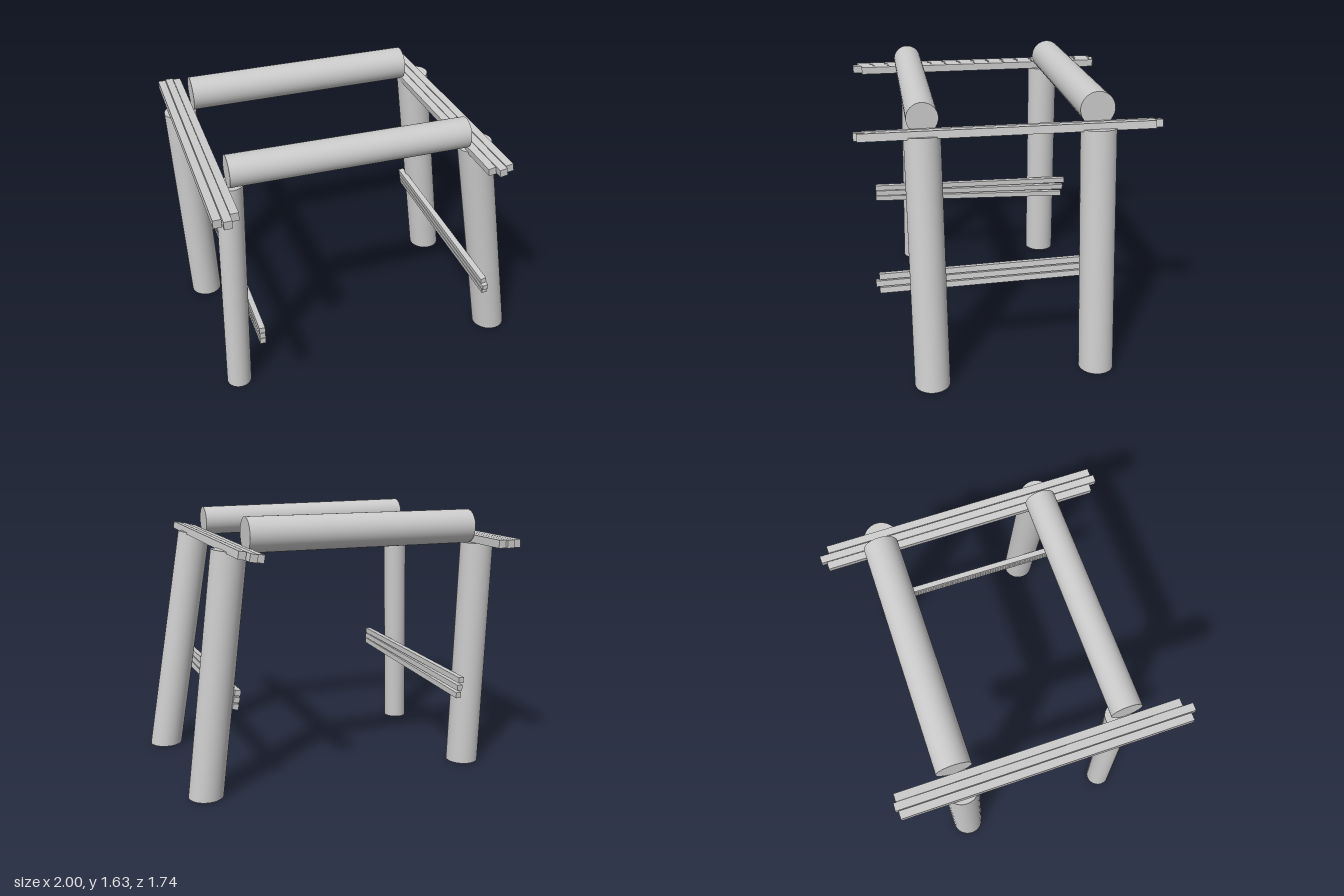
import * as THREE from 'three';

const grey = new THREE.MeshStandardMaterial({ color: 0xcccccc });
const v = (a) => new THREE.Vector3(...a);

// Round log running from point a to point b
function log(name, a, b, rA, rB) {
  const start = v(a), axis = v(b).sub(start);
  const length = axis.length();
  const geo = new THREE.CylinderGeometry(rB, rA, length, 48);
  geo.translate(0, length / 2, 0);
  axis.normalize();
  geo.applyQuaternion(new THREE.Quaternion().setFromUnitVectors(new THREE.Vector3(0, 1, 0), axis));
  geo.translate(...a);
  const mesh = new THREE.Mesh(geo, grey);
  mesh.name = name;
  return mesh;
}

// Leg whose foot is sawn off level with the ground
function leg(name, foot, top, rFoot, rTop) {
  const mesh = log(name, foot, top, rFoot, rTop);
  const axis = v(top).sub(v(foot)).normalize();
  const pos = mesh.geometry.attributes.position;
  const normal = mesh.geometry.attributes.normal;
  for (let i = 0; i < pos.count; i++) {
    if (pos.getY(i) > 0.5) continue;
    const t = pos.getY(i) / axis.y;
    pos.setXYZ(i, pos.getX(i) - axis.x * t, 0, pos.getZ(i) - axis.z * t);
    if (normal.getY(i) < -0.9) normal.setXYZ(i, 0, -1, 0);
  }
  return mesh;
}

// Square-edged slat from a back point to a front point, rolled about its length
function slat(name, back, front, w, h, roll = 0) {
  const a = v(back), b = v(front);
  const mesh = new THREE.Mesh(new THREE.BoxGeometry(w, h, a.distanceTo(b)), grey);
  mesh.name = name;
  mesh.position.copy(a).add(b).multiplyScalar(0.5);
  mesh.lookAt(b);
  mesh.rotateZ(roll);
  return mesh;
}

export function createModel() {
  const model = new THREE.Group();
  model.name = 'logFrame';

  // Four leaning legs
  model.add(
    leg('frontLeftLeg', [0.893, 0, 0.492], [0.655, 1.435, 0.492], 0.103, 0.103),
    leg('backLeftLeg', [0.85, 0, -0.495], [0.68, 1.44, -0.495], 0.103, 0.103),
    leg('frontRightLeg', [-0.853, 0, 0.485], [-0.805, 1.43, 0.455], 0.076, 0.077),
    leg('backRightLeg', [-0.86, 0, -0.495], [-0.9, 1.42, -0.5], 0.1, 0.1),
  );

  // Two beams across the top
  model.add(
    log('frontBeam', [-0.82, 1.53, 0.485], [0.59, 1.513, 0.485], 0.091, 0.091),
    log('backBeam', [-0.82, 1.524, -0.512], [0.59, 1.524, -0.512], 0.102, 0.102),
  );

  // Side rails on the leg tops: [x, y, back z, front z]
  const rails = new THREE.Group();
  rails.name = 'topRails';
  for (const [x, y, z0, z1] of [[-0.952, 1.45, -0.86, 0.835], [-0.902, 1.45, -0.875, 0.865], [-0.854, 1.45, -0.86, 0.805]])
    rails.add(slat('rightRailSlat', [x, y, z0], [x, y, z1], 0.046, 0.048));
  for (const [x, y, z0, z1] of [[0.602, 1.435, -0.845, 0.82], [0.648, 1.444, -0.875, 0.865], [0.695, 1.453, -0.82, 0.845]])
    rails.add(slat('leftRailSlat', [x, y, z0], [x, y, z1], 0.044, 0.045, 0.17));
  model.add(rails);

  // Low braces on the inner side of the legs, three slats each
  const braces = new THREE.Group();
  braces.name = 'lowBraces';
  for (let i = -1; i <= 1; i++) {
    braces.add(slat('rightBraceSlat', [-0.742, 0.533 + i * 0.052, -0.64 - i * 0.012],
      [-0.742, 0.563 + i * 0.04, 0.755], 0.034, 0.036));
    const x = 0.67 - i * 0.007;
    braces.add(slat('leftBraceSlat', [x, 0.588 + i * 0.04, -0.56],
      [x, 0.561 + i * 0.04, i === 0 ? 0.785 : 0.765], 0.036, 0.034, 0.16));
  }
  model.add(braces);

  return model;
}
